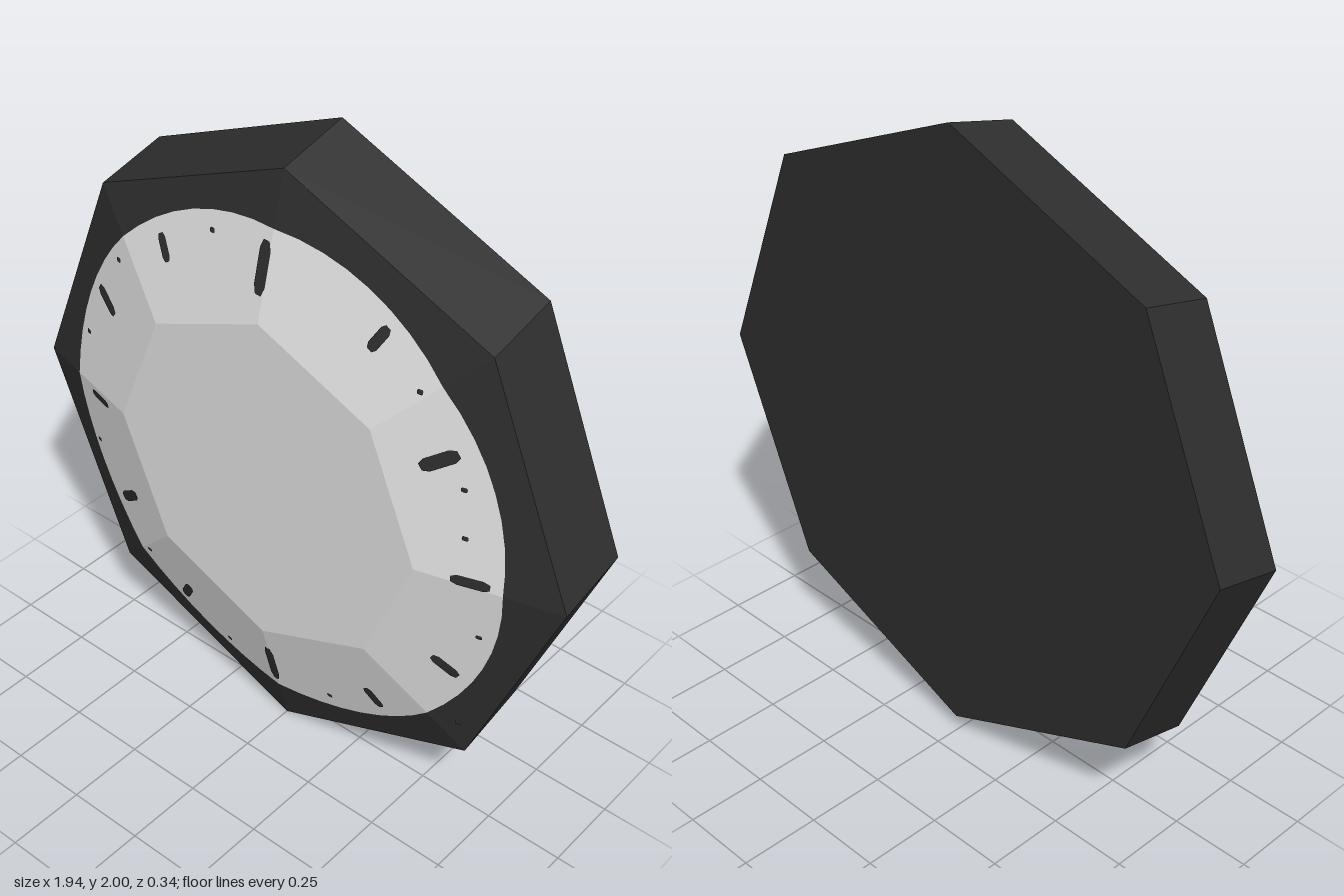
import * as THREE from 'three';

const CY = 0.973;                                  // height of the dial centre
const BACK = -0.172, RIM = 0.062, FACE = 0.172;    // depths
const R_RIM = 0.972, R_FACE = 0.55;
const STEPS = 64;                                  // multiple of 8 so the corners are kept

// radius of an octagon with corner radius R in direction a
function octRadius(R, a) {
  const q = Math.PI / 4;
  const m = ((a % q) + q) % q;
  return R * Math.cos(q / 2) / Math.cos(m - q / 2);
}

// depth of the bevelled front at (x, y), y measured from the dial centre
function frontDepth(x, y) {
  const f = Math.hypot(x, y) / octRadius(1, Math.atan2(y, x));
  return Math.min(FACE, FACE - (FACE - RIM) * (f - R_FACE) / (R_RIM - R_FACE));
}

function octRing(R, z, y0, n) {
  return Array.from({ length: n }, (_, i) => {
    const a = i / n * Math.PI * 2, r = octRadius(R, a);
    return [r * Math.cos(a), y0 + r * Math.sin(a), z];
  });
}

// round edge of the dial, lying on the bevel
function dialRing() {
  return Array.from({ length: STEPS }, (_, i) => {
    const a = i / STEPS * Math.PI * 2, c = Math.cos(a), s = Math.sin(a);
    const r = 0.805 * c * c + 0.818 * s * s - 0.005 * c - 0.006 * s;
    return [r * c, CY + r * s, frontDepth(r * c, r * s)];
  });
}

// flat-shaded skin through rings ordered from back to front
function loft(rings, capBack, capFront) {
  const pos = [];
  const tri = (a, b, c) => pos.push(...a, ...b, ...c);
  const n = rings[0].length;
  for (let k = 0; k + 1 < rings.length; k++) {
    const A = rings[k], B = rings[k + 1];
    for (let i = 0; i < n; i++) {
      const j = (i + 1) % n;
      tri(A[i], A[j], B[j]);
      tri(A[i], B[j], B[i]);
    }
  }
  const first = rings[0], last = rings[rings.length - 1];
  for (let i = 1; i + 1 < n; i++) {
    if (capBack) tri(first[0], first[i + 1], first[i]);
    if (capFront) tri(last[0], last[i], last[i + 1]);
  }
  const g = new THREE.BufferGeometry();
  g.setAttribute('position', new THREE.Float32BufferAttribute(pos, 3));
  g.computeVertexNormals();
  return g;
}

// thin mark laid on the bevelled front: centre, length, width, angle in degrees
function markGeometry(x, y, length, width, degrees) {
  const g = new THREE.PlaneGeometry(length, width, 6, 4);
  const p = g.attributes.position;
  for (let i = 0; i < p.count; i++) {
    const t = Math.abs(p.getX(i)) / (length / 2);
    p.setY(i, p.getY(i) * (t > 0.9 ? 0.55 : 1));   // narrowed ends
  }
  g.rotateZ(degrees * Math.PI / 180);
  g.translate(x, y, 0);
  for (let i = 0; i < p.count; i++) {
    p.setZ(i, frontDepth(p.getX(i), p.getY(i) - CY) + 0.003);
  }
  g.computeVertexNormals();
  return g;
}

export function createModel() {
  const black = new THREE.MeshStandardMaterial({ color: 0x2e2e2e });
  black.name = 'black casing';
  const white = new THREE.MeshStandardMaterial({ color: 0xe4e4e4 });
  white.name = 'white dial';

  const clock = new THREE.Group();
  clock.name = 'wallClock';
  const add = (name, geometry, material) => {
    const m = new THREE.Mesh(geometry, material);
    m.name = name;
    clock.add(m);
  };

  // casing: the back sits a little higher than the rim
  add('casing', loft([octRing(R_RIM, BACK, 1.028, 8), octRing(R_RIM, RIM, CY, 8)], true, false), black);
  const edge = dialRing();
  add('rim', loft([octRing(R_RIM, RIM, CY, STEPS), edge], false, false), black);

  // dial: sloping border and flat octagonal middle
  add('dial', loft([edge, octRing(R_FACE, FACE, CY, STEPS)], false, true), white);

  // hour marks: x, y, length, width, angle
  const hours = [
    [-0.015, 1.675, 0.15, 0.04, 90], [0.365, 1.605, 0.085, 0.032, 60],
    [0.585, 1.33, 0.12, 0.04, 35], [0.71, 0.987, 0.11, 0.032, 3],
    [0.635, 0.628, 0.09, 0.035, -33], [0.385, 0.345, 0.08, 0.034, -55],
    [0, 0.26, 0.155, 0.034, 90], [-0.375, 0.33, 0.09, 0.034, 57],
    [-0.6, 0.605, 0.115, 0.036, 37], [-0.687, 0.947, 0.09, 0.027, -2],
    [-0.65, 1.305, 0.1, 0.036, -33], [-0.397, 1.583, 0.08, 0.03, -57],
  ];
  hours.forEach((h, i) => add('hourMark' + (i + 1), markGeometry(...h), black));

  // small dots between the hours
  const dots = [
    [-0.22, 1.7], [0.51, 1.51], [0.66, 1.265], [0.68, 1.12], [0.735, 0.79], [0.67, 0.405],
    [0.21, 0.235], [-0.205, 0.22], [-0.53, 0.42], [-0.745, 0.745], [-0.75, 1.15], [-0.59, 1.465],
  ];
  dots.forEach(([x, y], i) => add('minuteDot' + (i + 1), markGeometry(x, y, 0.018, 0.014, 0), black));

  return clock;
}
